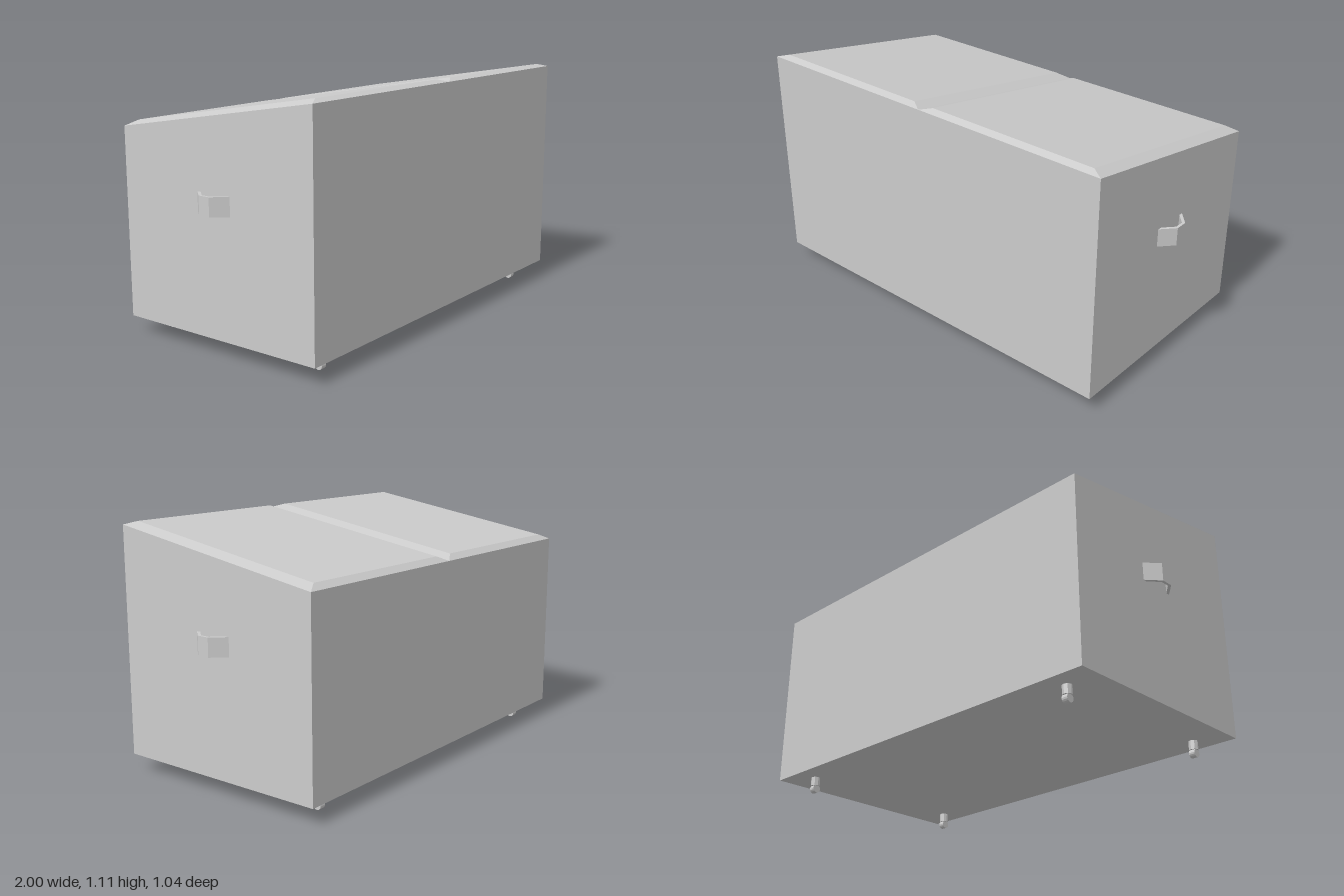
import * as THREE from 'three';

const material = new THREE.MeshStandardMaterial({ color: 0xcccccc, flatShading: true });
const HALF_W = 0.945, HALF_D = 0.52, FLOOR = 0.075, FRONT_H = 1.1, BACK_H = 0.926;

// Height of the sloping top edge at depth z
const slopeY = (z) => THREE.MathUtils.mapLinear(z, -HALF_D, HALF_D, BACK_H, FRONT_H);

function addMesh(parent, name, geometry) {
  const mesh = new THREE.Mesh(geometry, material);
  mesh.name = name;
  parent.add(mesh);
  return mesh;
}

function polygon(points) {
  return new THREE.Shape(points.map(([x, y]) => new THREE.Vector2(x, y)));
}

// Sloped chest: side profile extruded across the width
function bodyGeometry() {
  const profile = polygon([
    [-HALF_D, FLOOR], [HALF_D, FLOOR], [HALF_D, BACK_H], [-HALF_D, FRONT_H],
  ]);
  return new THREE.ExtrudeGeometry(profile, { depth: 2 * HALF_W, bevelEnabled: false })
    .translate(0, 0, -HALF_W)
    .rotateY(Math.PI / 2);
}

// Lid panel: a box tapered inward towards its top and laid on the slope
function lidGeometry() {
  const geometry = new THREE.BoxGeometry(1, 1, 1).toNonIndexed();
  const p = geometry.attributes.position;
  for (let i = 0; i < p.count; i++) {
    const top = p.getY(i) > 0;
    const x = Math.sign(p.getX(i)) * (HALF_W / 2 - (top ? 0.055 : 0));
    const z = Math.sign(p.getZ(i)) * (HALF_D - (top ? 0.033 : 0));
    p.setXYZ(i, x, slopeY(z) + (top ? 0.018 : 0), z);
  }
  geometry.computeVertexNormals();
  return geometry;
}

// Bent strap handle, drawn from above and extruded to its height
function handleGeometry() {
  const strap = polygon([
    [0.945, -0.09], [1, -0.028], [1, 0.028], [0.945, 0.09],
    [0.945, 0.07], [0.988, 0.022], [0.988, -0.022], [0.945, -0.07],
  ]);
  return new THREE.ExtrudeGeometry(strap, { depth: 0.083, bevelEnabled: false })
    .rotateX(-Math.PI / 2)
    .translate(0, 0.612, 0);
}

// Caster: short octagonal stem holding a small wheel
function createCaster() {
  const caster = new THREE.Group();
  caster.name = 'caster';
  addMesh(caster, 'casterStem', new THREE.CylinderGeometry(0.021, 0.021, 0.041, 8))
    .position.y = 0.0545;
  addMesh(caster, 'casterWheel', new THREE.CylinderGeometry(0.019, 0.019, 0.028, 16).rotateZ(Math.PI / 2))
    .position.y = 0.019;
  return caster;
}

export function createModel() {
  const model = new THREE.Group();
  model.name = 'storageChest';
  addMesh(model, 'body', bodyGeometry());

  for (const side of [-1, 1]) {
    const label = side > 0 ? 'left' : 'right';
    addMesh(model, label + 'Lid', lidGeometry()).position.x = side * HALF_W / 2;
    addMesh(model, label + 'Handle', handleGeometry()).rotation.y = side > 0 ? 0 : Math.PI;
    for (const end of [-1, 1]) {
      const caster = createCaster();
      caster.name = label + (end > 0 ? 'Front' : 'Back') + 'Caster';
      caster.position.set(side * 0.79, 0, end * 0.422);
      model.add(caster);
    }
  }
  return model;
}
